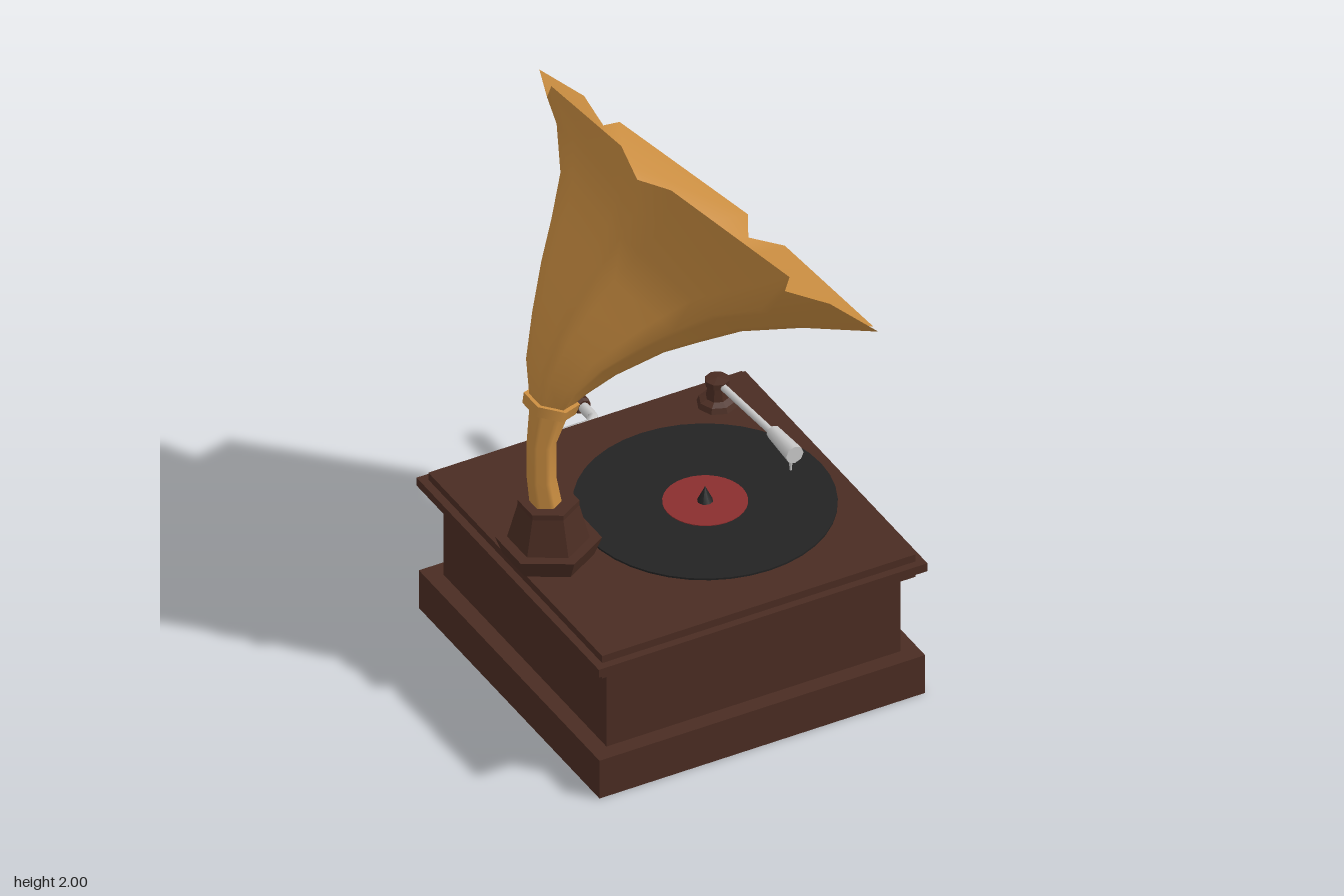
import * as THREE from 'three';

const mat = (name, color, side = THREE.FrontSide, flatShading = false) => {
  const m = new THREE.MeshStandardMaterial({ color, side, flatShading });
  m.name = name;
  return m;
};

export function createModel() {
  const wood = mat('dark wood', 0x4a2c22, THREE.FrontSide, true);
  const brass = mat('brass', 0xc88c40, THREE.DoubleSide);
  const steel = mat('steel', 0xc8c8c8);
  const vinyl = mat('black vinyl', 0x222222);
  const red = mat('red label', 0x8a2e2e);
  const model = new THREE.Group();
  const CZ = 0.205; // middle of the cabinet in z

  const add = (name, geo, material, x = 0, y = 0, z = 0) => {
    const mesh = new THREE.Mesh(geo, material);
    mesh.name = name;
    mesh.position.set(x, y, z);
    model.add(mesh);
    return mesh;
  };

  // Stack of faceted rings: [radius, y] pairs turned about y
  const turned = (points, sides) =>
    new THREE.LatheGeometry(points.map(([r, y]) => new THREE.Vector2(r, y)), sides);

  // Cabinet: [name, half width, bottom, top]
  for (const [name, h, y0, y1] of [
    ['plinth', 0.54, 0, 0.135],
    ['cabinetBody', 0.488, 0.135, 0.41],
    ['lowerMoulding', 0.52, 0.41, 0.437],
    ['middleMoulding', 0.545, 0.437, 0.465],
    ['cabinetTop', 0.52, 0.465, 0.49],
  ]) add(name, new THREE.BoxGeometry(2 * h, y1 - y0, 2 * h), wood, 0, (y0 + y1) / 2, CZ);

  // Record, label and spindle
  add('record', new THREE.CylinderGeometry(0.385, 0.385, 0.006, 40), vinyl, 0.11, 0.493, CZ);
  add('recordLabel', new THREE.CylinderGeometry(0.125, 0.125, 0.003, 32), red, 0.11, 0.497, CZ);
  add('spindle', new THREE.ConeGeometry(0.026, 0.055, 8), vinyl, 0.11, 0.522, CZ);

  // Hexagonal horn pedestal
  add('hornPedestal', turned([[0, 0.49], [0.133, 0.49], [0.156, 0.55], [0.12, 0.55],
    [0.09, 0.665], [0.09, 0.682], [0, 0.682]], 6), wood, -0.41, 0, CZ);

  // Hexagonal section between a left/top point and a right/bottom point,
  // with three points per side: corner, and two along the flat
  const section = ([tx, ty, bx, by]) => {
    const c = new THREE.Vector3((tx + bx) / 2, (ty + by) / 2, CZ);
    const u = new THREE.Vector3(tx - bx, ty - by, 0);
    const a = u.length() / 2;
    u.normalize();
    const ring = [];
    for (let k = 0; k < 6; k++) for (const rel of [-30, -19, 19]) {
      const r = a / Math.cos(THREE.MathUtils.degToRad(rel));
      const t = THREE.MathUtils.degToRad(60 * k + rel);
      ring.push(c.clone().addScaledVector(u, r * Math.cos(t))
        .add(new THREE.Vector3(0, 0, r * Math.sin(t))));
    }
    return ring;
  };

  const loft = (rings) => {
    const n = rings[0].length;
    const index = [];
    for (let i = 0; i < rings.length - 1; i++) for (let j = 0; j < n; j++) {
      const a = i * n + j, b = i * n + (j + 1) % n;
      index.push(a, a + n, b, b, a + n, b + n);
    }
    const geo = new THREE.BufferGeometry().setFromPoints(rings.flat());
    geo.setIndex(index);
    geo.computeVertexNormals();
    return geo;
  };

  // Bent neck pipe and collar
  add('hornNeck', loft([
    [-0.458, 0.66, -0.375, 0.66], [-0.47, 0.77, -0.395, 0.77],
    [-0.47, 0.9, -0.395, 0.895], [-0.455, 1.03, -0.355, 1.0],
  ].map(section)), brass);
  const collar = add('hornCollar', new THREE.CylinderGeometry(0.084, 0.08, 0.034, 6), brass, -0.403, 1.025, CZ);
  collar.rotation.z = -0.27;

  // Bell with a rim of six petals: notch, tip, tip for each
  const rim = [
    [-0.24, 1.865, -0.11], [-0.27, 1.965, -0.03], [-0.26, 2.0, 0.37],
    [-0.24, 1.91, 0.43], [-0.2, 1.94, 0.56], [0.06, 1.69, 0.8],
    [0.075, 1.6, 0.745], [0.185, 1.56, 0.815], [0.46, 1.235, 0.61],
    [0.4, 1.215, 0.5], [0.51, 1.16, 0.49], [0.51, 1.115, -0.04],
    [0.4, 1.17, -0.06], [0.455, 1.17, -0.16], [0.17, 1.44, -0.415],
    [0.08, 1.5, -0.35], [0.055, 1.57, -0.42], [-0.21, 1.89, -0.21],
  ].map((p) => new THREE.Vector3(...p));
  add('hornBell', loft([...[
    [-0.455, 1.05, -0.345, 1.02], [-0.455, 1.17, -0.31, 1.06],
    [-0.42, 1.31, -0.23, 1.115], [-0.37, 1.45, -0.09, 1.17],
    [-0.32, 1.565, 0.01, 1.19], [-0.27, 1.69, 0.13, 1.21],
    [-0.25, 1.82, 0.3, 1.2],
  ].map(section), rim]), brass);

  // Tone arm on its stand
  add('toneArmStand', turned([[0, 0.49], [0.062, 0.49], [0.055, 0.507], [0.034, 0.515],
    [0.028, 0.557], [0.037, 0.56], [0.037, 0.578], [0, 0.583]], 8), wood, 0.38, 0, -0.21);
  const rod = (name, pts, r, sides = 8) => {
    const path = new THREE.CurvePath();
    const v = pts.map((p) => new THREE.Vector3(...p));
    for (let i = 1; i < v.length; i++) path.add(new THREE.LineCurve3(v[i - 1], v[i]));
    return add(name, new THREE.TubeGeometry(path, 40, r, sides), steel);
  };
  rod('toneArm', [[0.38, 0.565, -0.23], [0.4, 0.565, 0.1]], 0.011);
  add('toneArmHead', new THREE.CylinderGeometry(0.029, 0.022, 0.13, 8).rotateX(Math.PI / 2),
    steel, 0.402, 0.565, 0.15);
  add('needle', new THREE.CylinderGeometry(0.008, 0.003, 0.06, 6), steel, 0.402, 0.525, 0.19);

  // Winding crank at the back
  const CX = -0.018, CY = 0.283;
  add('crankSocket', new THREE.CylinderGeometry(0.076, 0.076, 0.14, 6, 1, false, Math.PI / 6)
    .rotateX(Math.PI / 2), wood, CX, CY, -0.345);
  rod('crankRod', [[CX, CY, -0.4], [CX, CY, -0.52], [CX + 0.025, CY, -0.545],
    [0.145, CY, -0.545], [0.17, CY, -0.57], [0.17, CY, -0.65]], 0.017);
  add('crankHandle', turned([[0, 0], [0.023, 0], [0.028, 0.01], [0.028, 0.185],
    [0.023, 0.195], [0, 0.195]], 8).rotateX(-Math.PI / 2), wood, 0.17, CY, -0.63);

  return model;
}
